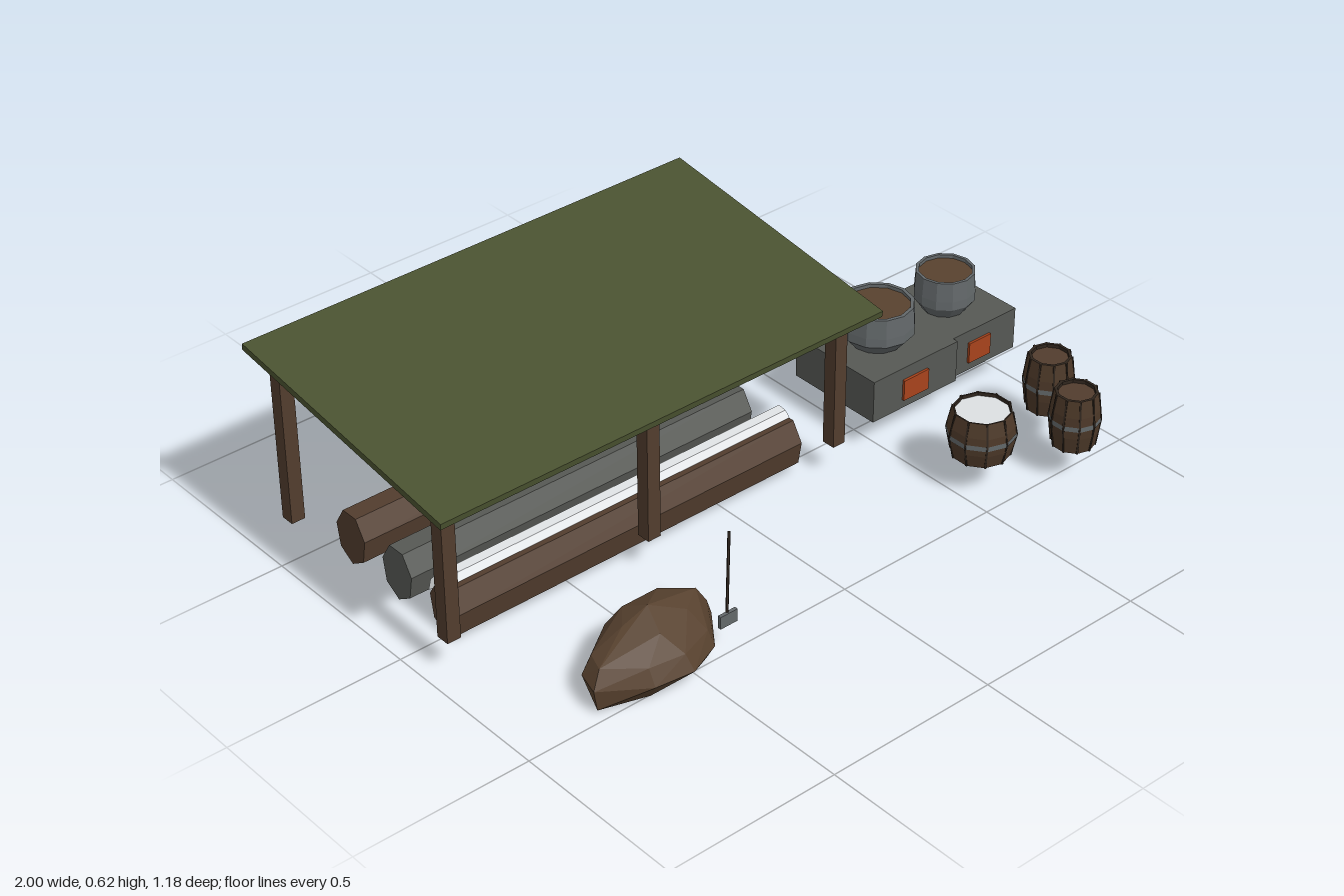
import * as THREE from 'three';
import { ConvexGeometry } from 'three/addons/geometries/ConvexGeometry.js';

const mat = (name, color, extra = {}) =>
  new THREE.MeshStandardMaterial({ name, color, flatShading: true, ...extra });

export function createModel() {
  const model = new THREE.Group();
  model.name = 'workshopCamp';

  const canvas = mat('green canvas', 0x4a5230);
  const wood = mat('wood', 0x523d2e);
  const barrelWood = mat('barrel wood', 0x4c3828);
  const darkWood = mat('dark wood', 0x30261e);
  const earth = mat('earth brown', 0x58422f);
  const stone = mat('stone grey', 0x565854);
  const iron = mat('iron grey', 0x63686a);
  const ember = mat('ember orange', 0xa8431c);
  const white = mat('white', 0xdde0e2, { side: THREE.DoubleSide });

  const add = (parent, name, geometry, material, x = 0, y = 0, z = 0) => {
    const mesh = new THREE.Mesh(geometry, material);
    mesh.name = name;
    mesh.position.set(x, y, z);
    parent.add(mesh);
    return mesh;
  };
  const group = (name, x, y, z) => {
    const g = new THREE.Group();
    g.name = name;
    g.position.set(x, y, z);
    model.add(g);
    return g;
  };
  const box = (w, h, d) => new THREE.BoxGeometry(w, h, d);
  const lathe = (points, sides) =>
    new THREE.LatheGeometry(points.map(([r, y]) => new THREE.Vector2(r, y)), sides);

  // Sloping roof
  const roof = add(model, 'roof', box(1.395, 0.018, 0.796), canvas, -0.3025, 0.56, -0.194);
  roof.rotation.x = Math.atan2(0.109, 0.785);

  // Three posts in front, three taller ones behind
  for (const x of [-0.93, -0.305, 0.322]) {
    add(model, 'frontPost', box(0.04, 0.395, 0.04), wood, x, 0.2975, 0.11);
    add(model, 'backPost', box(0.04, 0.485, 0.04), wood, x, 0.3425, -0.535);
  }

  // Seven-sided logs with a flat top, lying along x
  const logShape = new THREE.Shape();
  for (let i = 0; i < 7; i++) {
    const a = -Math.PI / 2 + (i * Math.PI * 2) / 7;
    logShape[i ? 'lineTo' : 'moveTo'](0.0615 * Math.cos(a), 0.08 * Math.sin(a));
  }
  logShape.closePath();
  const logGeometry = new THREE.ExtrudeGeometry(logShape, { depth: 1.115, bevelEnabled: false });
  logGeometry.rotateY(Math.PI / 2);
  [['frontLog', wood, 0], ['middleLog', stone, -0.195], ['backLog', wood, -0.39]].forEach(
    ([name, material, z]) => add(model, name, logGeometry, material, -0.86, 0.082, z));

  // White sheet draped over the back edge of the front log
  const drape = [[0.012, 0.156], [-0.004, 0.171], [-0.03, 0.174], [-0.054, 0.145], [-0.065, 0.105]];
  const sheet = new THREE.PlaneGeometry(1.115, 1, 1, drape.length - 1);
  const sp = sheet.attributes.position;
  for (let i = 0; i < sp.count; i++) {
    const [z, y] = drape[Math.floor(i / 2)];
    sp.setXYZ(i, sp.getX(i), y, z);
  }
  sheet.computeVertexNormals();
  add(model, 'drapedSheet', sheet, white, -0.3025);

  // Faceted mound
  const moundRings = [
    [0.01, [[-0.77, 0.47], [-0.72, 0.4], [-0.6, 0.33], [-0.46, 0.31], [-0.4, 0.41], [-0.45, 0.49], [-0.64, 0.51]]],
    [0.07, [[-0.78, 0.47], [-0.76, 0.4], [-0.64, 0.32], [-0.56, 0.306], [-0.46, 0.315], [-0.37, 0.42], [-0.45, 0.525], [-0.55, 0.567], [-0.66, 0.553]]],
    [0.115, [[-0.75, 0.455], [-0.73, 0.4], [-0.63, 0.33], [-0.47, 0.325], [-0.385, 0.42], [-0.46, 0.51], [-0.56, 0.545], [-0.66, 0.53]]],
    [0.17, [[-0.65, 0.42], [-0.6, 0.36], [-0.49, 0.36], [-0.42, 0.42], [-0.49, 0.47], [-0.6, 0.5]]],
    [0.205, [[-0.58, 0.43]]],
  ];
  const moundPoints = moundRings.flatMap(([y, ring]) =>
    ring.map(([x, z]) => new THREE.Vector3(x, y, z)));
  add(model, 'mound', new ConvexGeometry(moundPoints), earth);

  // Tool leaning beside the mound
  add(model, 'toolHead', box(0.054, 0.036, 0.01), iron, -0.392, 0.113, 0.505);
  const start = new THREE.Vector3(-0.395, 0.115, 0.505);
  const end = new THREE.Vector3(-0.358, 0.335, 0.47);
  const handle = add(model, 'toolHandle',
    new THREE.CylinderGeometry(0.004, 0.004, start.distanceTo(end), 5), darkWood);
  handle.position.copy(start).lerp(end, 0.5);
  handle.quaternion.setFromUnitVectors(
    new THREE.Vector3(0, 1, 0), end.clone().sub(start).normalize());

  // Twin stoves, each with a fire door and a filled pot
  const stove = (x, w, z0, z1, doorX, doorW, potX, potZ, r) => {
    const g = group('stove', 0, 0, 0);
    add(g, 'stoveBlock', box(w, 0.125, z1 - z0), stone, x, 0.1625, (z0 + z1) / 2);
    add(g, 'fireDoor', box(doorW, 0.062, 0.008), ember, doorX, 0.157, z1 + 0.003);
    const pot = [[0, 0], [0.7 * r, 0], [r, 0.036], [r, 0.062], [0.96 * r, 0.118], [0.86 * r, 0.118], [0.86 * r, 0.1]];
    add(g, 'pot', lathe(pot, 12), iron, potX, 0.225, potZ);
    const fill = new THREE.CircleGeometry(0.87 * r, 12).rotateX(-Math.PI / 2);
    add(g, 'potContents', fill, earth, potX, 0.333, potZ);
  };
  stove(0.6125, 0.305, -0.188, 0.113, 0.61, 0.09, 0.61, -0.036, 0.103);
  stove(0.8825, 0.235, -0.172, 0.097, 0.862, 0.08, 0.862, -0.038, 0.085);

  // Bulging casks with a dark rim and an iron hoop
  const cask = (name, x, z, r, h, fillMaterial, fillRadius) => {
    const g = group(name, x, 0.102, z);
    const end = 0.85 * r;
    const wall = [[0, 0], [end, 0], [0.97 * r, 0.3 * h], [r, 0.5 * h], [0.97 * r, 0.7 * h], [end, h]];
    add(g, 'staves', lathe(wall, 10), barrelWood);
    const rim = [[end, h], [fillRadius, h], [fillRadius, h - 0.014]];
    add(g, 'rim', lathe(rim, 10), darkWood);
    const fill = new THREE.CircleGeometry(fillRadius, 10).rotateX(-Math.PI / 2);
    // Match the lathe's first corner
    fill.rotateY(Math.PI / 2);
    add(g, 'lid', fill, fillMaterial, 0, h - 0.01, 0);
    add(g, 'hoop', new THREE.CylinderGeometry(1.015 * r, 1.015 * r, 0.014, 10, 1, true), iron, 0, 0.5 * h, 0);
    // Narrow dark seams between the staves
    for (let i = 0; i < 10; i++) {
      const a = (i * Math.PI * 2) / 10;
      for (const s of [0, 1]) {
        const dr = r - end;
        const seam = add(g, 'staveSeam', box(0.005, 0.5 * h, 0.005), darkWood,
          Math.sin(a) * (r + end) / 2, (0.25 + 0.5 * s) * h, Math.cos(a) * (r + end) / 2);
        seam.rotation.set((s ? -1 : 1) * Math.atan2(dr, 0.5 * h), a, 0, 'YXZ');
      }
    }
  };
  cask('barrel', 0.862, 0.357, 0.068, 0.16, wood, 0.05);
  cask('barrel', 0.79, 0.52, 0.068, 0.16, wood, 0.05);
  cask('tub', 0.577, 0.393, 0.092, 0.134, white, 0.074);

  return model;
}
